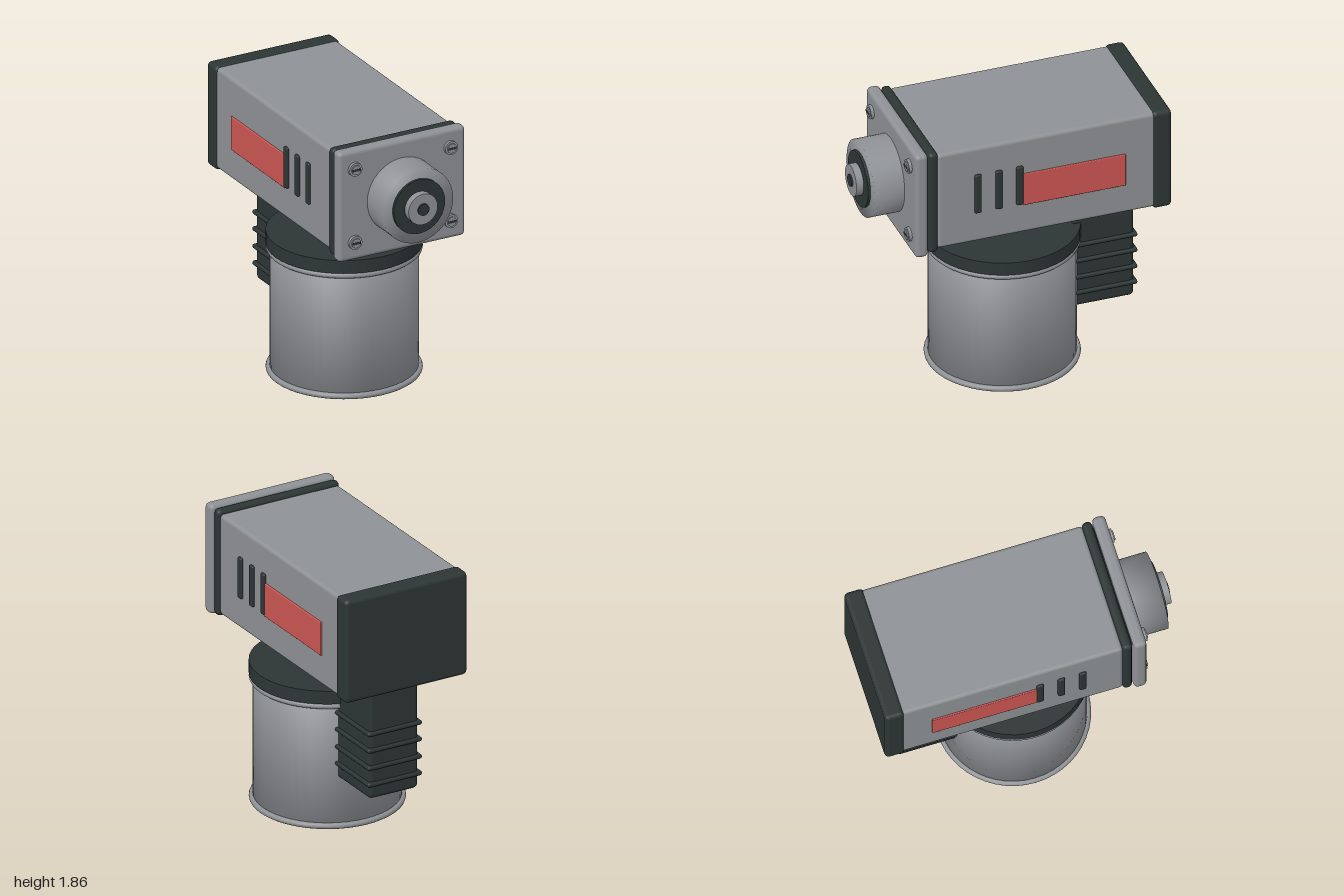
import * as THREE from 'three';
import { RoundedBoxGeometry } from 'three/addons/geometries/RoundedBoxGeometry.js';

export function createModel() {
  const group = new THREE.Group();
  const mat = (name, color) => {
    const m = new THREE.MeshStandardMaterial({ color });
    m.name = name;
    return m;
  };
  const grey = mat('metalGrey', 0x8e9195);
  const dark = mat('darkRubber', 0x2d3535);
  const red = mat('redPanel', 0xcc5653);

  const add = (name, geometry, material, x = 0, y = 0, z = 0) => {
    const mesh = new THREE.Mesh(geometry, material);
    mesh.name = name;
    mesh.position.set(x, y, z);
    group.add(mesh);
    return mesh;
  };
  // Rounded box given by its extents along each axis
  const block = (name, material, [x0, x1], [y0, y1], [z0, z1], r) =>
    add(name, new RoundedBoxGeometry(x1 - x0, y1 - y0, z1 - z0, 2, r), material,
      (x0 + x1) / 2, (y0 + y1) / 2, (z0 + z1) / 2);
  const lathe = (points) =>
    new THREE.LatheGeometry(points.map(([r, y]) => new THREE.Vector2(r, y)), 48);
  // Cylinder along z, from z0 to z1
  const disc = (name, material, r, z0, z1, x, y, sides = 32) => {
    const g = new THREE.CylinderGeometry(r, r, z1 - z0, sides).rotateX(Math.PI / 2);
    return add(name, g, material, x, y, (z0 + z1) / 2);
  };

  // Canister with rolled rims and a lid
  const canZ = -0.025;
  add('canister', lathe([[0, 0.01], [0.47, 0.01], [0.47, 0.87], [0, 0.87]]), grey, 0, 0, canZ);
  for (const y of [0.02, 0.85]) {
    const rim = new THREE.TorusGeometry(0.475, 0.02, 10, 48).rotateX(Math.PI / 2);
    add('canisterRim', rim, grey, 0, y, canZ);
  }
  add('lid', new THREE.CylinderGeometry(0.495, 0.495, 0.09, 48), dark, 0, 0.915, canZ);

  // Feed tube between lid and housing, with a small hinge pin before it
  add('feedTube', lathe([[0.078, 0.94], [0.078, 1.1], [0.05, 1.15]]), grey, 0, 0, -0.325);
  add('hingePin', new THREE.CylinderGeometry(0.02, 0.02, 0.21, 12).rotateZ(Math.PI / 2),
    grey, 0, 0.952, -0.2);

  // Grip with raised ribs
  block('grip', dark, [-0.18, 0.18], [0.345, 1.17], [-0.845, -0.43], 0.03);
  for (const y of [0.45, 0.565, 0.685, 0.8]) {
    block('gripRib', dark, [-0.198, 0.198], [y - 0.015, y + 0.015], [-0.862, -0.43], 0.014);
  }

  // Housing, rear cap, gasket and front plate
  block('housing', grey, [-0.437, 0.437], [1.138, 1.83], [-0.95, 0.57], 0.025);
  block('housingCore', dark, [-0.41, 0.41], [1.165, 1.805], [0.5, 0.66], 0.01);
  block('rearCap', dark, [-0.448, 0.448], [1.127, 1.838], [-1, -0.87], 0.03);
  block('gasket', dark, [-0.447, 0.447], [1.118, 1.85], [0.565, 0.63], 0.028);
  block('frontPlate', grey, [-0.458, 0.458], [1.105, 1.86], [0.636, 0.722], 0.03);

  // Stepped nozzle
  const nozzleY = 1.485;
  add('nozzle', lathe([[0.253, 0.7], [0.253, 0.925], [0, 0.925]]).rotateX(Math.PI / 2),
    grey, 0, nozzleY, 0);
  disc('nozzleRing', dark, 0.185, 0.9, 0.942, 0, nozzleY, 40);
  disc('nozzleTip', grey, 0.105, 0.92, 0.99, 0, nozzleY);
  disc('nozzleHole', dark, 0.04, 0.95, 1, 0, nozzleY, 24);

  // Corner screws with slots
  for (const x of [-0.345, 0.345]) {
    for (const y of [1.232, 1.735]) {
      disc('screw', grey, 0.046, 0.71, 0.742, x, y, 24);
      disc('screwHead', grey, 0.032, 0.73, 0.75, x, y, 24);
      add('screwSlot', new THREE.BoxGeometry(0.058, 0.015, 0.008), dark, x, y, 0.748);
    }
  }

  // Vents and panels on both sides
  for (const side of [-1, 1]) {
    for (const z of [0.3, 0.16, 0.02]) {
      add('vent', new RoundedBoxGeometry(0.03, 0.282, 0.046, 2, 0.012), dark,
        side * 0.44, 1.495, z);
    }
    add('sidePanel', new RoundedBoxGeometry(0.02, 0.23, 0.69, 2, 0.006), red,
      side * 0.437, 1.46, -0.345);
  }
  return group;
}
